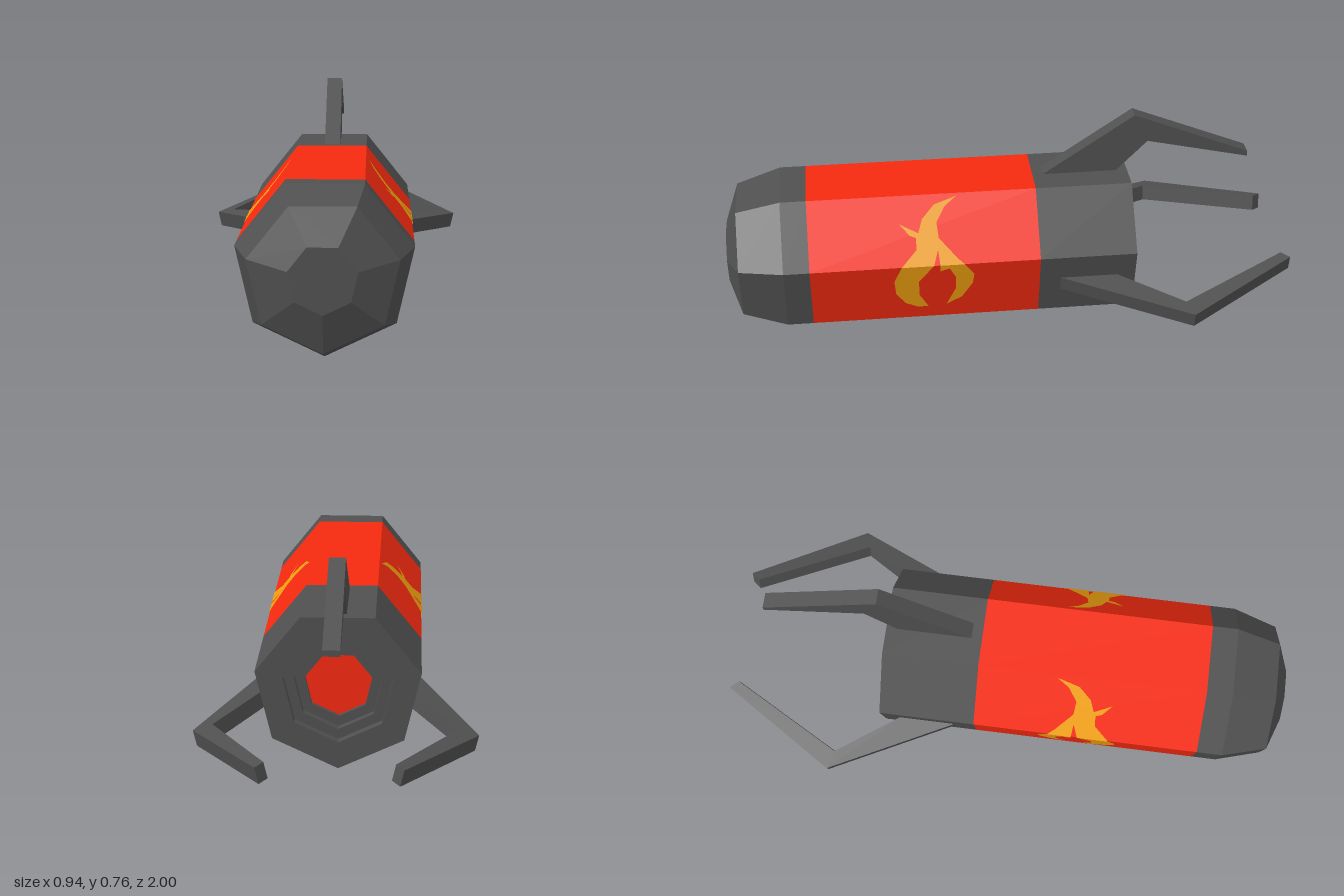
import * as THREE from 'three';

const R = 0.289;               // circumradius of the seven-sided body
const APOTHEM = R * Math.cos(Math.PI / 7);

const material = (color) => new THREE.MeshStandardMaterial({ color, flatShading: true, side: THREE.DoubleSide });

// Seven-sided loft along z; profile is a list of [radius, z], from rear to front
function heptagon(name, profile, mat) {
  const geo = new THREE.LatheGeometry(profile.map(([r, z]) => new THREE.Vector2(r, z)), 7);
  geo.rotateX(Math.PI / 2);
  const mesh = new THREE.Mesh(geo, mat);
  mesh.name = name;
  return mesh;
}

// Bent claw: [z, radius] outline extruded to a flat bar, turned around the body axis
function claw(name, outline, angle, mat) {
  const width = 0.056;
  const shape = new THREE.Shape(outline.map(([z, r]) => new THREE.Vector2(-z, r)));
  const geo = new THREE.ExtrudeGeometry(shape, { depth: width, bevelEnabled: false });
  geo.translate(0, 0, -width / 2);
  geo.rotateY(Math.PI / 2);
  geo.rotateZ(angle);
  const mesh = new THREE.Mesh(geo, mat);
  mesh.name = name;
  return mesh;
}

// Flame pieces as [z, y] in hundredths, split where the body folds
const FOLD = 35.4;
const FLAME = [
  [[19, 54.3], [27, 52.2], [31.4, 48.4], [33, 44.6], [39.4, 47.3], [36, 44], [33.8, 43.3], [34, 40],
    [39.4, FOLD], [28.2, FOLD], [26.5, 39.8], [26, FOLD], [17.5, FOLD], [20, 37.3], [22, 39.2], [26, 43], [26.5, 47.3], [23.3, 51.6]],
  [[39.4, FOLD], [42.1, 29], [41.6, 23], [38.3, 18.2], [34, 16.1], [30.3, 16.1], [33.5, 22], [33.5, 28.5], [28.2, FOLD]],
  [[26, FOLD], [26, 32.8], [22.8, 33.9], [20.6, 29.6], [20.6, 24.2], [23.9, 16.7], [18.5, 19.9], [14.7, 26.3], [14.2, 30.6], [17.5, FOLD]],
];

// Width of the body side at a height
function sideX(y) {
  const corner = (k) => {
    const a = (k * 2 * Math.PI) / 7;
    return [R * Math.sin(a), R - R * Math.cos(a)];
  };
  const [x1, y1] = corner(1), [x2, y2] = corner(2), [x3, y3] = corner(3);
  return y > y2
    ? THREE.MathUtils.mapLinear(y, y2, y3, x2, x3)
    : THREE.MathUtils.mapLinear(y, y1, y2, x1, x2);
}

function flame(name, side, mat) {
  const group = new THREE.Group();
  group.name = name;
  for (const piece of FLAME) {
    const shape = new THREE.Shape(piece.map(([z, y]) => new THREE.Vector2(-side * z / 100, y / 100)));
    const geo = new THREE.ShapeGeometry(shape);
    const p = geo.attributes.position;
    for (let i = 0; i < p.count; i++) {
      const y = p.getY(i);
      p.setXYZ(i, side * (sideX(y) + 0.003), y, -side * p.getX(i));
    }
    geo.computeVertexNormals();
    group.add(new THREE.Mesh(geo, mat));
  }
  return group;
}

export function createModel() {
  const grey = material(0x505050);
  const red = material(0xf52a10);
  const yellow = material(0xf0a010);
  const model = new THREE.Group();

  // Body, running along z
  const body = new THREE.Group();
  body.name = 'body';
  body.add(
    heptagon('nose', [[R, 0.71], [R, 0.8], [0.24, 0.955], [0.11, 1], [0, 1]], grey),
    heptagon('casing', [[R, -0.09], [R, 0.71]], red),
    heptagon('rearCollar', [[0.118, -0.36], [0.118, -0.375], [0.155, -0.375], [0.155, -0.4], [0.192, -0.4],
      [0.192, -0.43], [R, -0.43], [R, -0.09]], grey),
    heptagon('rearCore', [[0, -0.36], [0.118, -0.36]], red),
  );
  body.position.y = R;

  // Three claws around the rear, each on the middle of a flat
  const topOutline = [[-0.12, APOTHEM - 0.005], [-0.45, 0.476], [-0.865, 0.31], [-0.865, 0.29], [-0.5, 0.372], [-0.385, APOTHEM - 0.005]];
  const sideOutline = [[-0.15, 0.253], [-0.605, 0.477], [-1, 0.228], [-0.97, 0.202], [-0.585, 0.412], [-0.355, 0.253]];
  const turn = (4 * Math.PI) / 7;
  body.add(
    claw('topClaw', topOutline, 0, grey),
    claw('leftClaw', sideOutline, -turn, grey),
    claw('rightClaw', sideOutline, turn, grey),
  );

  // Painted flames on both sides
  model.add(body, flame('leftFlame', 1, yellow), flame('rightFlame', -1, yellow));
  return model;
}
